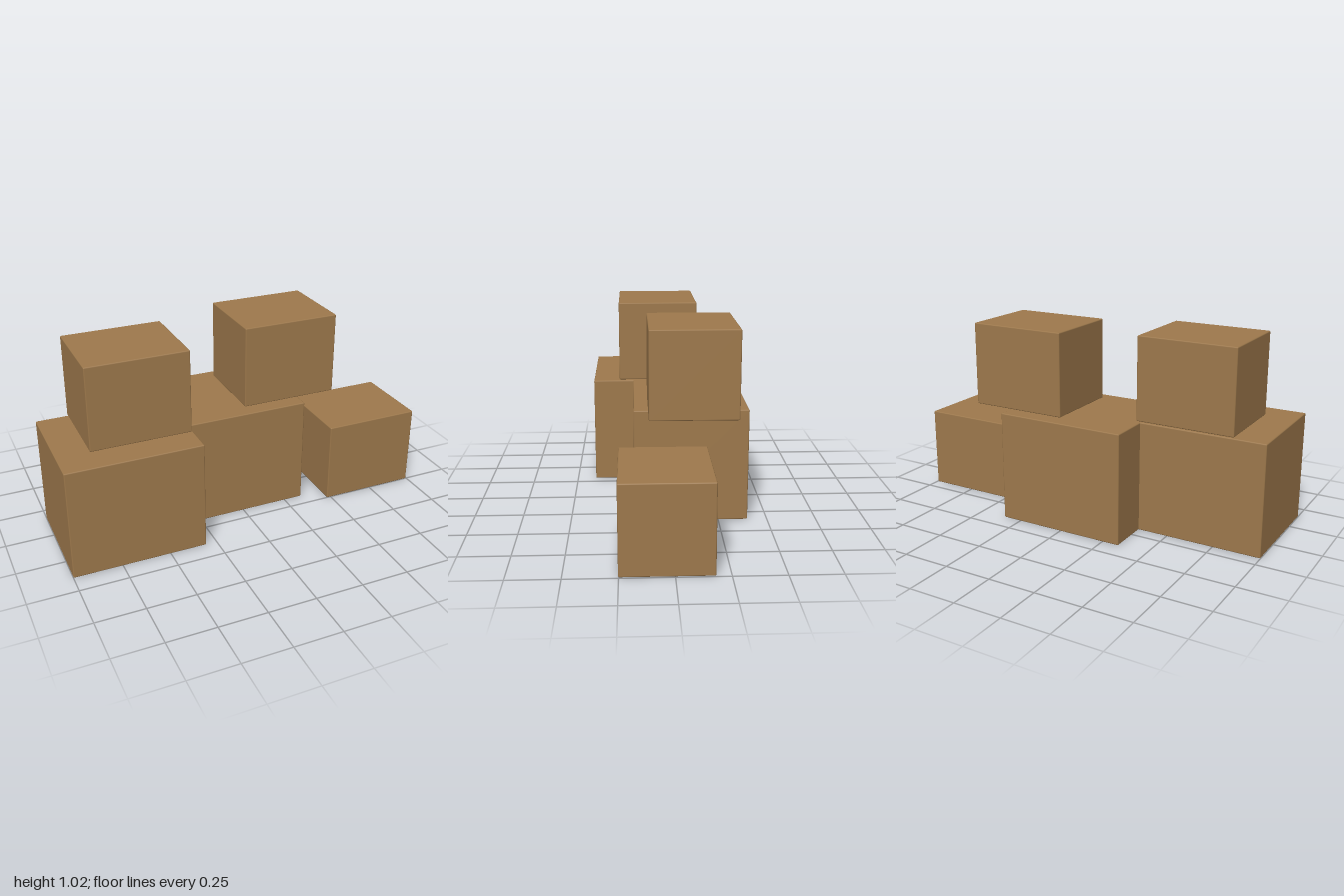
import * as THREE from 'three';
import { RoundedBoxGeometry } from 'three/addons/geometries/RoundedBoxGeometry.js';

export function createModel() {
  const group = new THREE.Group();
  group.name = 'boxStack';

  const cardboard = new THREE.MeshStandardMaterial({ color: 0x9e794c });
  cardboard.name = 'cardboard';

  // Two carton sizes with finely bevelled edges
  const bevel = 0.006;
  const large = new RoundedBoxGeometry(0.692, 0.58, 0.577, 1, bevel);
  const small = new RoundedBoxGeometry(0.519, 0.435, 0.433, 1, bevel);

  const addBox = (name, geometry, x, bottom, z) => {
    const box = new THREE.Mesh(geometry, cardboard);
    box.name = name;
    box.position.set(x, bottom + geometry.parameters.height / 2, z);
    group.add(box);
  };
  large.parameters = { height: 0.58 };
  small.parameters = { height: 0.435 };

  // Floor row
  addBox('largeBoxRight', large, -0.654, 0.003, 0.108);
  addBox('largeBoxMiddle', large, 0.005, 0.003, -0.111);
  addBox('smallBoxLeft', small, 0.736, 0.003, 0.036);

  // Stacked on top
  addBox('topBoxRight', small, -0.577, 0.587, 0.036);
  addBox('topBoxLeft', small, 0.297, 0.587, -0.111);

  return group;
}
